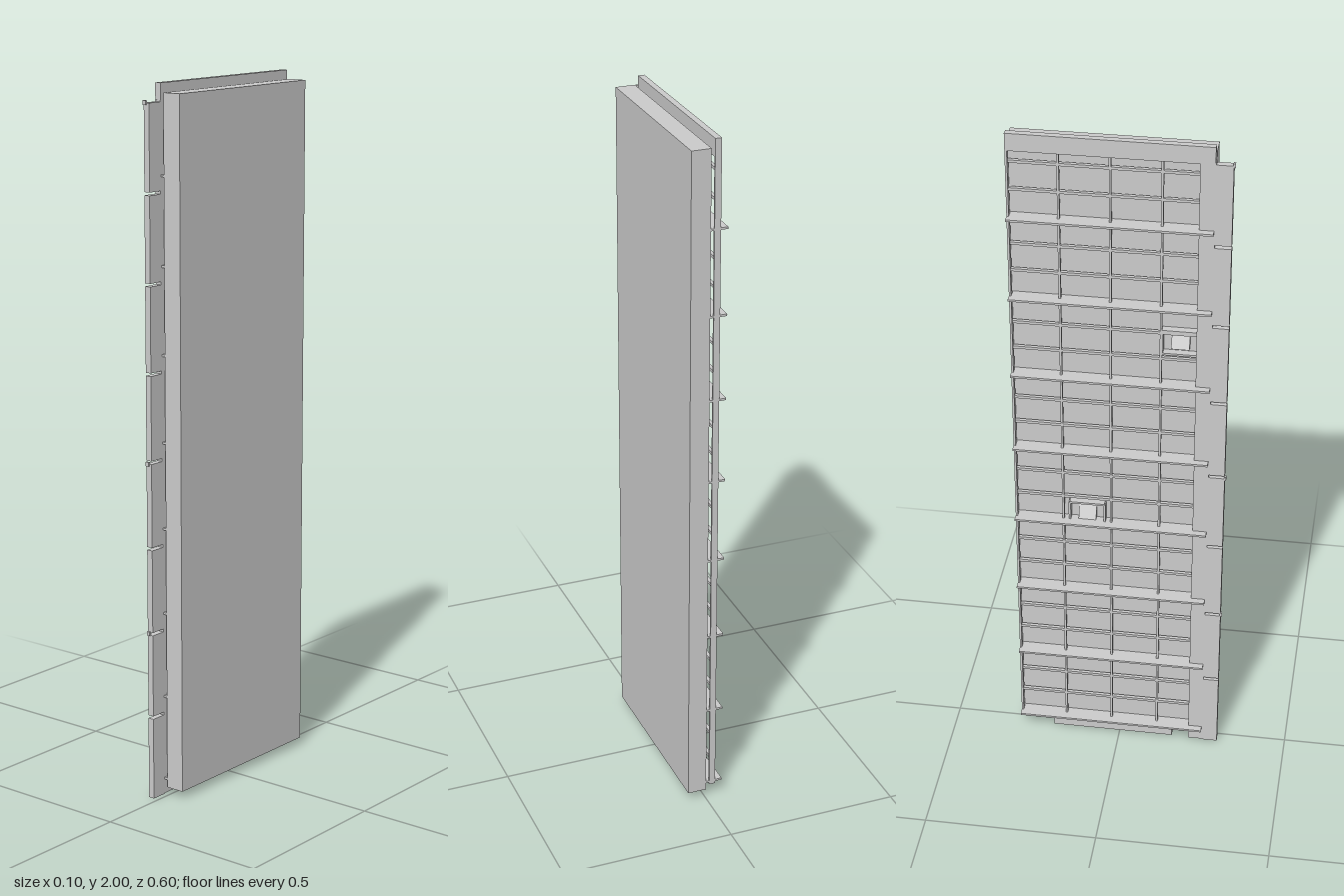
import * as THREE from 'three';

export function createModel() {
  const group = new THREE.Group();
  const material = new THREE.MeshStandardMaterial({ color: 0xcccccc, flatShading: true });

  // Box given by its extents on each axis
  function box(name, [x0, x1], [y0, y1], [z0, z1]) {
    const mesh = new THREE.Mesh(new THREE.BoxGeometry(x1 - x0, y1 - y0, z1 - z0), material);
    mesh.name = name;
    mesh.position.set((x0 + x1) / 2, (y0 + y1) / 2, (z0 + z1) / 2);
    group.add(mesh);
    return mesh;
  }

  const PITCH = 0.2435;
  const FRAME = [-0.033, -0.015];

  // Main slab
  box('slab', [-0.005, 0.05], [0.025, 1.975], [-0.3, 0.25]);

  // Top rail, rear post and bottom rail of the backing frame
  box('topRail', FRAME, [1.95, 2], [-0.3, 0.25]);
  box('rearPost', FRAME, [0.04, 1.95], [-0.3, -0.294]);
  box('bottomRail', FRAME, [0.008, 0.045], [-0.2, 0.16]);

  // Front edge: a post with segmented plates separated by narrow slots
  box('frontPost', FRAME, [0.005, 1.955], [0.21, 0.252]);
  for (let i = 0; i < 8; i++) {
    const y = 0.003 + i * 0.2445;
    box('edgePlate', FRAME, [y, y + 0.236], [0.25, 0.297]);
  }
  for (const y of [0.482, 0.966, 1.945]) {
    box('edgeTab', [-0.033, -0.023], [y, y + 0.012], [0.295, 0.301]);
  }

  // Horizontal fins, with two slim ribs between neighbours
  for (let i = 0; i < 8; i++) {
    const y = 0.05 + i * PITCH;
    box('fin', [-0.053, -0.003], [y - 0.003, y + 0.003], [-0.3, 0.25]);
    for (const k of [1, 2]) {
      const ry = y + k * PITCH / 3;
      box('crossRib', [-0.027, -0.017], [ry - 0.004, ry + 0.004], [-0.296, 0.212]);
    }
  }

  // Vertical ribs
  for (const z of [-0.1625, -0.025, 0.1125]) {
    box('uprightRib', [-0.027, -0.017], [0.045, 1.95], [z - 0.003, z + 0.003]);
  }

  // Two small latch pockets: square surround with a wedge inside
  for (const [y, z] of [[1.4, 0.165], [0.805, -0.094]]) {
    const w = 0.05, h = 0.036, t = 0.006, X = [-0.027, -0.005];
    for (const s of [-1, 1]) {
      box('pocketSide', X, [y - h, y + h], [z + s * w - t / 2, z + s * w + t / 2]);
      box('pocketEdge', X, [y + s * h - t / 2, y + s * h + t / 2], [z - w, z + w]);
    }
    const profile = new THREE.Shape([
      new THREE.Vector2(-0.005, y - 0.02),
      new THREE.Vector2(-0.005, y + 0.02),
      new THREE.Vector2(-0.024, y - 0.02),
    ]);
    const wedge = new THREE.Mesh(
      new THREE.ExtrudeGeometry(profile, { depth: 0.05, bevelEnabled: false }), material);
    wedge.name = 'latchWedge';
    wedge.position.z = z - 0.025;
    group.add(wedge);
  }

  // Keep the base on the ground plane
  group.position.y = 0;
  return group;
}
